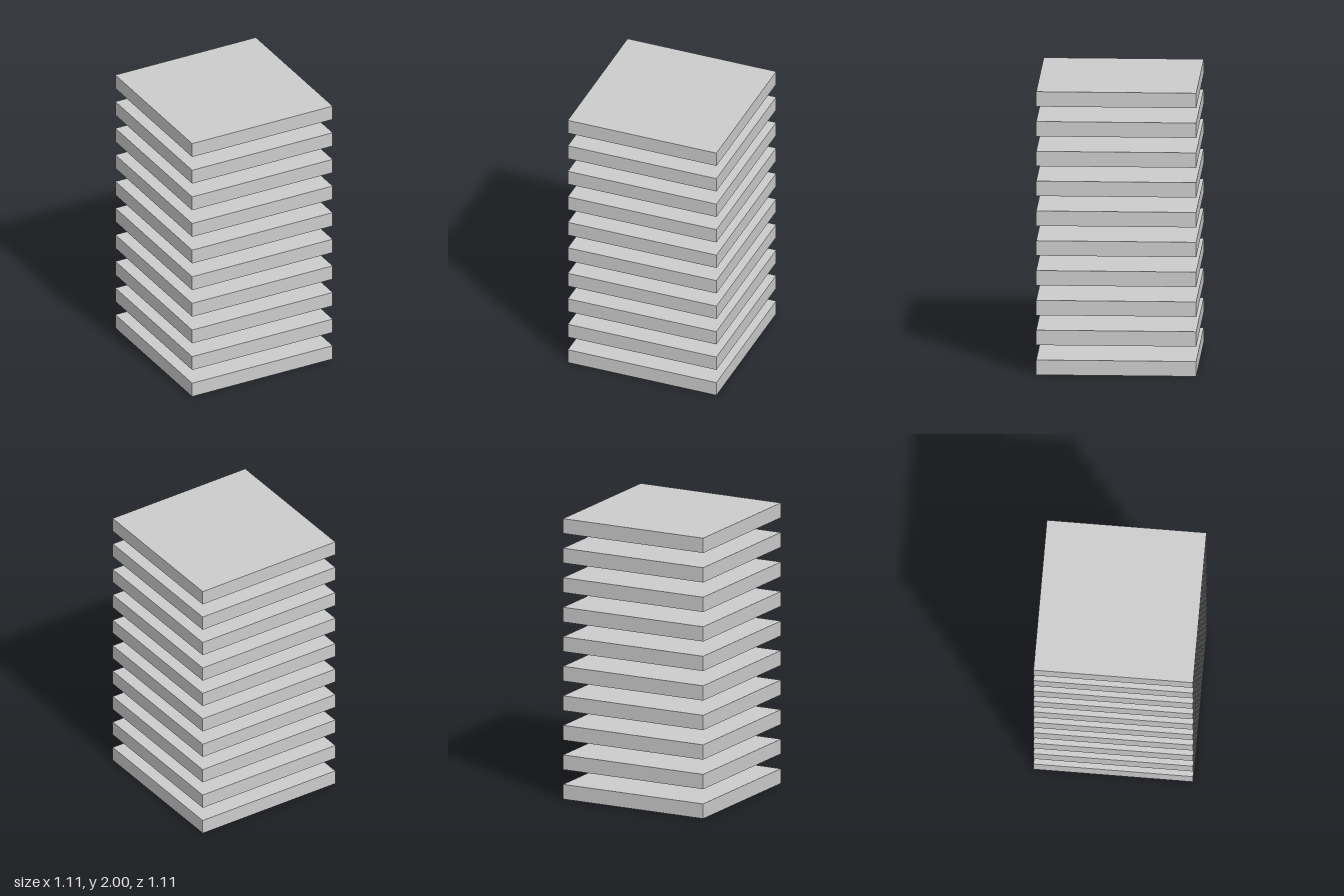
import * as THREE from 'three';

const COUNT = 10;
const THICKNESS = 2 / (2 * COUNT - 1); // gaps are as tall as the slabs
const WIDTH = 10.5 * THICKNESS;

export function createModel() {
  const group = new THREE.Group();
  group.name = 'slabStack';
  const material = new THREE.MeshStandardMaterial({ color: 0xcccccc });
  const geometry = new THREE.BoxGeometry(WIDTH, THICKNESS, WIDTH);

  // Evenly spaced square slabs, from the ground up
  for (let i = 0; i < COUNT; i++) {
    const slab = new THREE.Mesh(geometry, material);
    slab.name = `slab${i + 1}`;
    slab.position.y = (2 * i + 0.5) * THICKNESS;
    group.add(slab);
  }
  return group;
}
